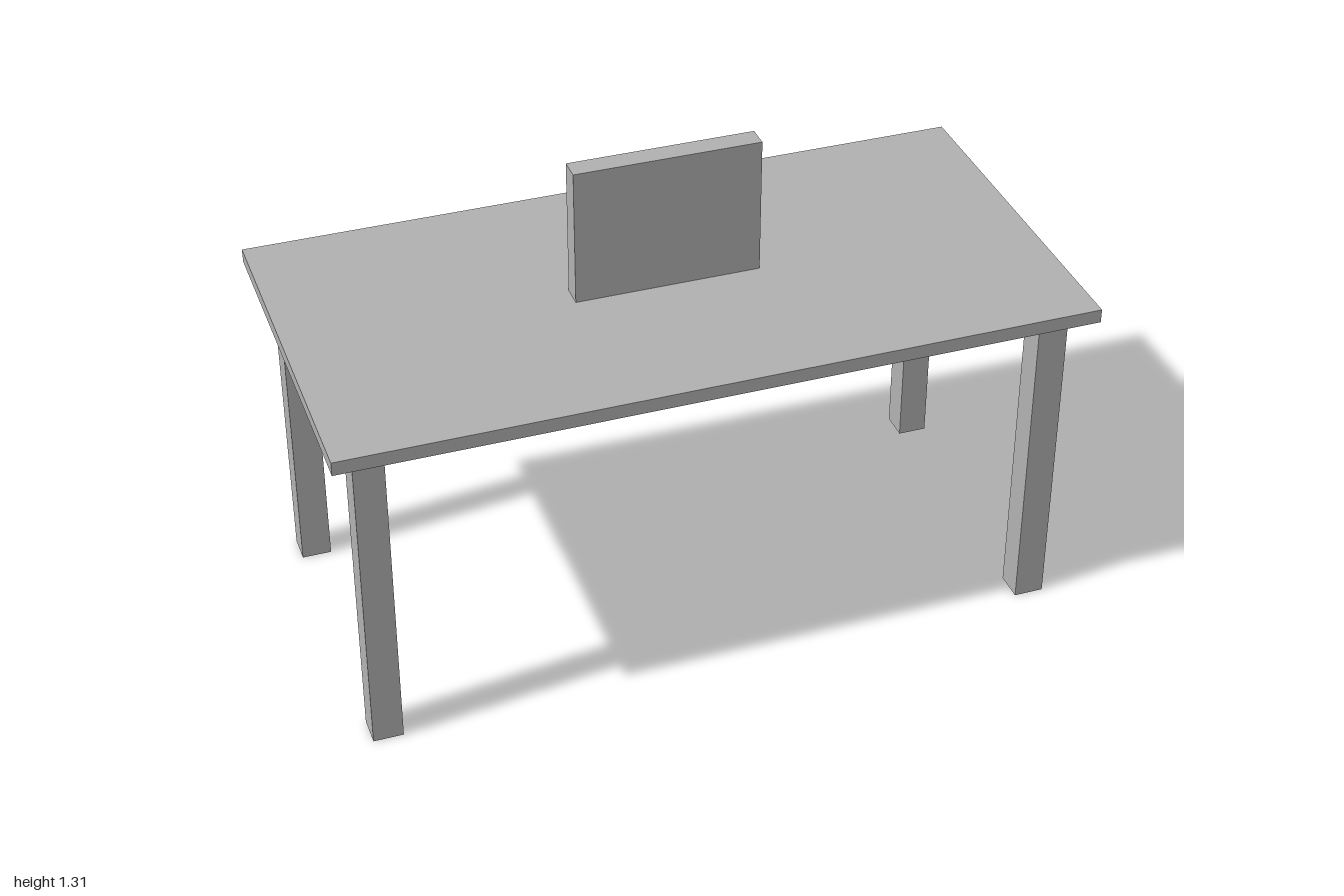
import * as THREE from 'three';

export function createModel() {
  const model = new THREE.Group();
  model.name = 'deskWithScreen';
  const grey = new THREE.MeshStandardMaterial({ name: 'grey', color: 0xb2b2b2 });

  // Box standing on the height "base"
  function addBox(name, width, height, depth, x, base, z) {
    const mesh = new THREE.Mesh(new THREE.BoxGeometry(width, height, depth), grey);
    mesh.name = name;
    mesh.position.set(x, base + height / 2, z);
    model.add(mesh);
  }

  // Table top
  addBox('tableTop', 2, 0.0375, 1, 0, 0.9, 0);

  // Four square legs, set in from the corners
  for (const [side, x] of [['Left', 0.9], ['Right', -0.9]]) {
    for (const [end, z] of [['front', 0.4], ['back', -0.4]]) {
      addBox(`${end}${side}Leg`, 0.08, 0.9, 0.08, x, 0, z);
    }
  }

  // Upright screen panel in the middle of the top
  addBox('screen', 0.5, 0.375, 0.06, 0, 0.9375, 0);

  return model;
}
